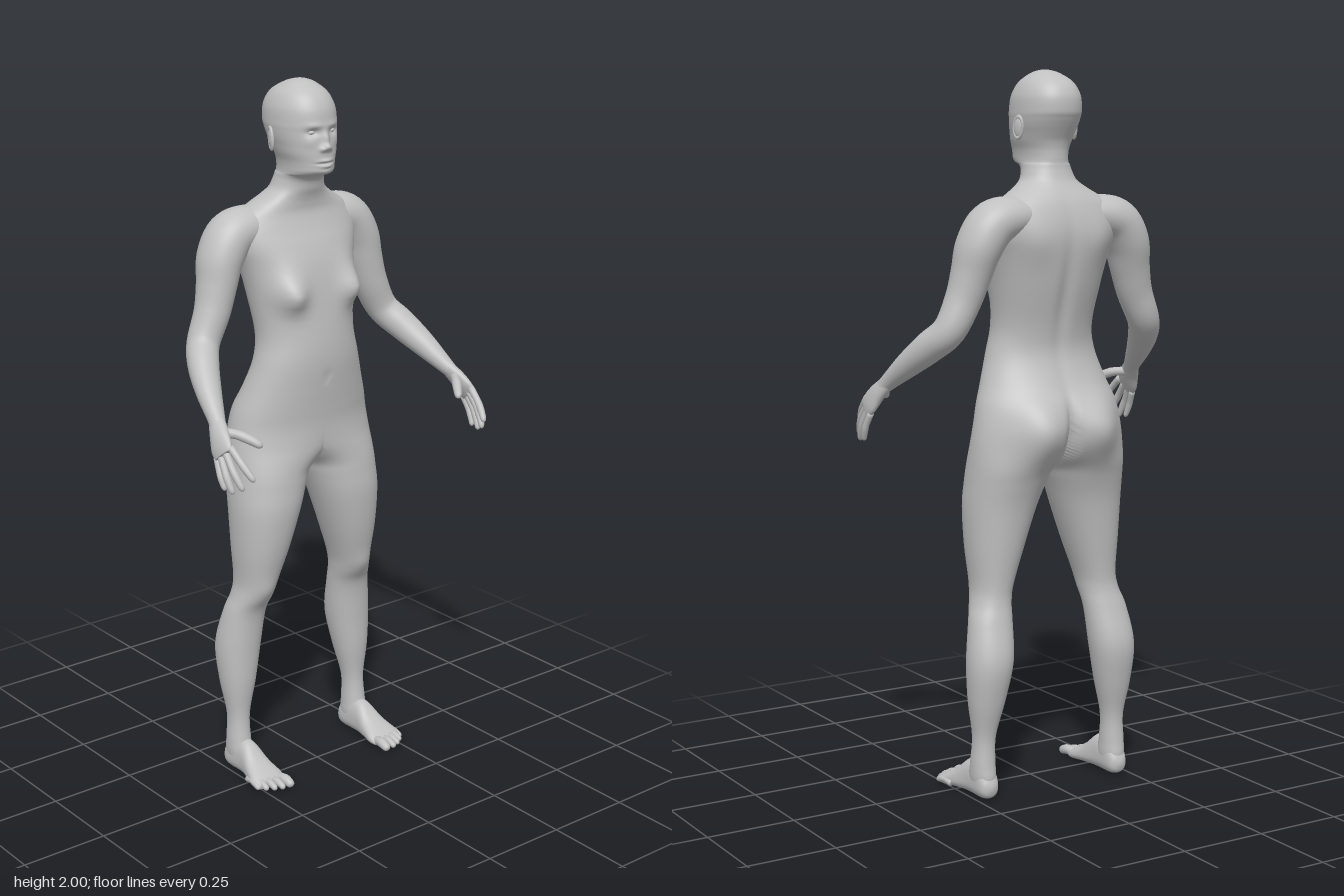
import * as THREE from 'three';
import { mergeGeometries, mergeVertices } from 'three/addons/utils/BufferGeometryUtils.js';

const skin = new THREE.MeshStandardMaterial({ color: 0xc0c0c0 });
skin.name = 'plain grey';

const spline = (a, b, c, d, t) =>
  0.5 * (2 * b + (c - a) * t + (2 * a - 5 * b + 4 * c - d) * t * t + (3 * b - a - 3 * c + d) * t * t * t);

// Smoothly interpolates a short list of cross-sections
function refine(rows, steps) {
  const out = [], last = rows.length - 1;
  const at = i => rows[Math.min(last, Math.max(0, i))];
  for (let i = 0; i < last; i++)
    for (let s = 0, m = steps(rows[i]); s < m; s++)
      out.push(at(i).map((v, k) => spline(at(i - 1)[k], v, at(i + 1)[k], at(i + 2)[k], s / m)));
  out.push(rows[last]);
  return out;
}

// Soft swellings and hollows: [x,y,z, sizeX,sizeY,sizeZ, moveX,moveY,moveZ], mirrored when x is not 0
function sculpt(p, bumps) {
  const move = new THREE.Vector3();
  for (const [x, y, z, sx, sy, sz, dx, dy, dz] of bumps)
    for (const m of x ? [1, -1] : [1]) {
      const w = Math.exp(-(((p.x - m * x) / sx) ** 2) - ((p.y - y) / sy) ** 2 - ((p.z - z) / sz) ** 2);
      move.add(new THREE.Vector3(m * dx * w, dy * w, dz * w));
    }
  return p.add(move);
}

// Skin over sections [x,y,z, sideRadius, forwardRadius, backRadius].
// A fixed axis keeps the sections parallel; otherwise they follow the path.
// half stops the sections at the middle plane and leaves that side open.
function loft(rows, { steps = () => 6, seg = 40, n = 2, axis = null, fwd = [0, 0, 1], bumps = [], half = false } = {}) {
  const R = refine(rows, steps), pos = [];
  let idx = [];
  const centre = i => new THREE.Vector3(...R[Math.min(R.length - 1, Math.max(0, i))].slice(0, 3));
  const power = v => Math.sign(v) * Math.abs(v) ** (2 / n);
  R.forEach((r, i) => {
    const t = axis ? new THREE.Vector3(...axis) : centre(i + 1).sub(centre(i - 1)).normalize();
    const f = new THREE.Vector3(...fwd);
    f.addScaledVector(t, -f.dot(t)).normalize();
    const side = t.clone().cross(f);
    const [a, b, c] = r.slice(3).map(v => Math.max(v, 0.0005));
    for (let j = 0; j < seg; j++) {
      const u = (j / seg) * Math.PI * 2, s = Math.sin(u);
      const p = centre(i).addScaledVector(side, a * power(Math.cos(u))).addScaledVector(f, (s > 0 ? b : c) * power(s));
      if (half && p.x < 1e-6) p.x = 0;
      pos.push(...sculpt(p, bumps).toArray());
    }
  });
  for (let i = 0; i < R.length - 1; i++)
    for (let j = 0; j < seg; j++) {
      const k = (j + 1) % seg, a = i * seg + j, b = i * seg + k;
      idx.push([a, a + seg, b], [b, a + seg, b + seg]);
    }
  // End caps
  const e = (R.length - 1) * seg, c0 = R.length * seg;
  pos.push(...sculpt(centre(0), bumps).toArray(), ...sculpt(centre(R.length), bumps).toArray());
  for (let j = 0; j < seg; j++) {
    const k = (j + 1) % seg;
    idx.push([c0, j, k], [c0 + 1, e + k, e + j]);
  }
  if (half) idx = idx.filter(tri => tri.some(v => pos[v * 3] > 1e-6));
  const g = new THREE.BufferGeometry();
  g.setAttribute('position', new THREE.Float32BufferAttribute(pos, 3));
  g.setIndex(idx.flat());
  g.computeVertexNormals();
  return g;
}

// Upright sections from [y, innerX, outerX, frontZ, backZ]
const upright = rows => rows.map(([y, x0, x1, zf, zb]) =>
  [(x0 + x1) / 2, y, (zf + zb) / 2, (x1 - x0) / 2, (zf - zb) / 2, (zf - zb) / 2]);
// The same about the middle plane, from [y, halfWidth, frontZ, backZ]
const centred = rows => upright(rows.map(([y, w, zf, zb]) => [y, -w, w, zf, zb]));

// Round-tipped finger or toe bent through three points
function digit(a, b, c, r) {
  const path = new THREE.QuadraticBezierCurve3(...[a, b, c].map(p => new THREE.Vector3(...p)));
  const rows = [[0, 1], [0.35, 0.95], [0.55, 1], [0.8, 0.88], [0.92, 0.75], [0.98, 0.42], [1, 0.04]]
    .map(([t, k]) => [...path.getPoint(t).toArray(), r * k, r * k, r * k]);
  return loft(rows, { steps: () => 3, seg: 14, fwd: [0.3, 1, 0.1] });
}

function mirrored(g) {
  const m = g.clone().scale(-1, 1, 1), ix = m.index.array;
  for (let i = 0; i < ix.length; i += 3) [ix[i], ix[i + 1]] = [ix[i + 1], ix[i]];
  m.computeVertexNormals();
  return m;
}

// Joins a half with its mirror image into one smooth surface
function wholeFromHalf(g) {
  const both = mergeGeometries([g, mirrored(g)]);
  both.deleteAttribute('normal');
  const whole = mergeVertices(both, 1e-5);
  whole.computeVertexNormals();
  return whole;
}

export function createModel() {
  const model = new THREE.Group();
  model.name = 'figure';
  const add = (name, g) => {
    const mesh = new THREE.Mesh(g, skin);
    mesh.name = name;
    model.add(mesh);
  };
  const pair = (name, g) => { add('left' + name, g); add('right' + name, mirrored(g)); };

  // Legs, torso, neck and head as one skin, from ankle to crown
  const legs = upright([
    [0.025, 0.187, 0.243, -0.06, -0.135], [0.06, 0.182, 0.249, -0.05, -0.14], [0.1, 0.183, 0.249, -0.058, -0.136],
    [0.177, 0.182, 0.246, -0.065, -0.135], [0.28, 0.158, 0.261, -0.055, -0.16], [0.39, 0.137, 0.267, -0.05, -0.177],
    [0.495, 0.128, 0.252, -0.04, -0.153], [0.55, 0.122, 0.235, -0.015, -0.139], [0.6, 0.112, 0.228, 0.002, -0.138],
    [0.7, 0.078, 0.236, 0.026, -0.15], [0.81, 0.04, 0.241, 0.04, -0.165], [0.88, 0.014, 0.239, 0.038, -0.182],
    [0.92, -0.006, 0.237, 0.035, -0.192], [0.955, -0.06, 0.235, 0.033, -0.199], [1.0, -0.16, 0.231, 0.032, -0.206],
  ]);
  const torso = centred([
    [1.05, 0.223, 0.033, -0.208], [1.1, 0.211, 0.037, -0.2], [1.156, 0.19, 0.043, -0.178],
    [1.235, 0.164, 0.05, -0.155], [1.31, 0.15, 0.047, -0.163], [1.42, 0.162, 0.033, -0.192], [1.5, 0.178, 0.018, -0.208],
    [1.555, 0.196, 0.0, -0.213], [1.6, 0.2, -0.02, -0.208], [1.64, 0.178, -0.034, -0.196], [1.665, 0.14, -0.034, -0.183],
    [1.685, 0.106, -0.03, -0.17], [1.705, 0.08, -0.023, -0.158], [1.73, 0.069, -0.016, -0.149],
  ]);
  const head = centred([
    [1.745, 0.066, 0.0, -0.146], [1.752, 0.065, 0.026, -0.145], [1.762, 0.065, 0.039, -0.145], [1.775, 0.066, 0.041, -0.145],
    [1.79, 0.069, 0.041, -0.146], [1.81, 0.076, 0.04, -0.151], [1.83, 0.081, 0.038, -0.161], [1.85, 0.086, 0.036, -0.172],
    [1.87, 0.089, 0.035, -0.182], [1.89, 0.09, 0.035, -0.189], [1.93, 0.086, 0.028, -0.187], [1.965, 0.069, 0.006, -0.165],
    [1.989, 0.04, -0.03, -0.122], [1.998, 0.017, -0.056, -0.092], [2.0, 0.002, -0.072, -0.076],
  ]);
  const face = [
    [0, 1.85, 0.04, 0.009, 0.02, 0.03, 0, 0, 0.012], // nose
    [0, 1.829, 0.045, 0.012, 0.01, 0.03, 0, 0, 0.015],
    [0.014, 1.823, 0.04, 0.007, 0.007, 0.02, 0, 0, 0.007],
    [0.034, 1.868, 0.03, 0.017, 0.01, 0.03, 0, 0, -0.009], // eye sockets, brows, cheeks
    [0.03, 1.887, 0.03, 0.022, 0.008, 0.03, 0, 0, 0.003],
    [0.046, 1.842, 0.02, 0.018, 0.015, 0.03, 0, 0, 0.003],
    [0, 1.792, 0.04, 0.02, 0.005, 0.03, 0, 0, 0.005], // lips and chin
    [0, 1.777, 0.04, 0.017, 0.005, 0.03, 0, 0, 0.005],
    [0, 1.785, 0.04, 0.024, 0.003, 0.03, 0, 0, -0.005],
    [0, 1.758, 0.04, 0.018, 0.01, 0.03, 0, 0, 0.004],
  ];
  const trunk = [
    [0.095, 1.03, -0.21, 0.075, 0.085, 0.09, 0, 0, -0.049], // buttocks and cleft
    [0, 1.0, -0.22, 0.014, 0.09, 0.06, 0, 0, 0.03],
    [0.108, 1.43, 0.03, 0.046, 0.042, 0.07, 0.004, -0.004, 0.044], // breasts
    [0.1, 1.48, 0.02, 0.05, 0.05, 0.06, 0, 0, 0.01],
    [0.115, 1.432, 0.07, 0.009, 0.009, 0.04, 0, 0, 0.006],
    [0, 1.38, -0.19, 0.022, 0.19, 0.06, 0, 0, 0.011], // spine and shoulder blades
    [0.1, 1.54, -0.2, 0.05, 0.06, 0.05, 0, 0, -0.008],
    [0, 1.19, 0.05, 0.009, 0.01, 0.03, 0, 0, -0.006], // navel
    [0.175, 0.575, 0.0, 0.035, 0.035, 0.05, 0, 0, 0.006], // knees
  ];
  add('body', wholeFromHalf(loft([...legs, ...torso, ...head], {
    steps: r => (r[1] > 1.74 ? 10 : 5), seg: 128, n: 2.15, axis: [0, 1, 0], bumps: [...face, ...trunk], half: true,
  })));

  // Eyes, and ears with a lobe and a raised rim
  pair('Eye', new THREE.SphereGeometry(0.0125, 24, 16).scale(1, 0.6, 1).translate(0.033, 1.868, 0.0125));
  const place = g => g.rotateY(Math.PI / 2 + 0.35).rotateX(-0.12).translate(0.091, 1.845, -0.085);
  pair('Ear', place(new THREE.SphereGeometry(0.022, 20, 14).scale(0.65, 1.2, 0.3)));
  pair('EarRim', place(new THREE.TorusGeometry(0.02, 0.0045, 10, 28).scale(0.75, 1.4, 1)));

  // Feet and toes
  pair('Foot', loft([
    [0.215, 0.033, -0.146, 0.006, 0.006, 0.006], [0.215, 0.034, -0.138, 0.023, 0.026, 0.026],
    [0.215, 0.037, -0.115, 0.032, 0.055, 0.036], [0.215, 0.036, -0.05, 0.034, 0.066, 0.034],
    [0.217, 0.028, 0.0, 0.044, 0.038, 0.026], [0.219, 0.02, 0.04, 0.053, 0.023, 0.019],
    [0.22, 0.016, 0.062, 0.05, 0.014, 0.014], [0.22, 0.014, 0.07, 0.04, 0.008, 0.008],
  ], { axis: [0, 0, 1], fwd: [0, 1, 0], n: 2.3 }));
  [[0.181, 0.113, 0.0145], [0.208, 0.111, 0.0105], [0.23, 0.102, 0.0105], [0.25, 0.088, 0.01], [0.266, 0.07, 0.0095]]
    .forEach(([x, z, r], i) => pair('Toe' + (i + 1),
      digit([0.22 + (x - 0.22) * 0.85, 0.017, z - 0.065], [x, 0.03, z - 0.03], [x, 0.011, z], r)));

  // Arms, rising gradually out of the shoulders
  pair('Arm', loft([
    [0.06, 1.61, -0.122, 0.04, 0.05, 0.06], [0.14, 1.606, -0.123, 0.058, 0.066, 0.073], [0.2, 1.587, -0.125, 0.064, 0.071, 0.074],
    [0.238, 1.53, -0.122, 0.062, 0.069, 0.071],
    [0.257, 1.46, -0.115, 0.055, 0.06, 0.058], [0.278, 1.39, -0.108, 0.05, 0.052, 0.05], [0.316, 1.31, -0.098, 0.045, 0.046, 0.046],
    [0.35, 1.262, -0.05, 0.044, 0.042, 0.042], [0.38, 1.21, 0.015, 0.036, 0.034, 0.034],
    [0.405, 1.157, 0.083, 0.023, 0.024, 0.024], [0.415, 1.138, 0.103, 0.018, 0.026, 0.026],
  ]));

  // Hands
  pair('Palm', loft([
    [0.405, 1.157, 0.083, 0.019, 0.023, 0.023], [0.42, 1.126, 0.114, 0.019, 0.033, 0.03],
    [0.43, 1.098, 0.138, 0.016, 0.039, 0.037], [0.435, 1.08, 0.154, 0.011, 0.036, 0.034],
  ]));
  const fingers = {
    IndexFinger: [[0.424, 1.106, 0.172], [0.422, 1.068, 0.218], [0.405, 1.028, 0.25], 0.0105],
    MiddleFinger: [[0.43, 1.092, 0.157], [0.437, 1.042, 0.2], [0.422, 0.999, 0.224], 0.0105],
    RingFinger: [[0.435, 1.08, 0.142], [0.445, 1.026, 0.178], [0.434, 0.985, 0.195], 0.0102],
    LittleFinger: [[0.437, 1.068, 0.127], [0.447, 1.022, 0.152], [0.438, 0.988, 0.165], 0.0092],
    Thumb: [[0.412, 1.132, 0.115], [0.38, 1.135, 0.16], [0.346, 1.1, 0.206], 0.0135],
  };
  for (const [name, [a, b, c, r]] of Object.entries(fingers)) pair(name, digit(a, b, c, r));

  return model;
}
